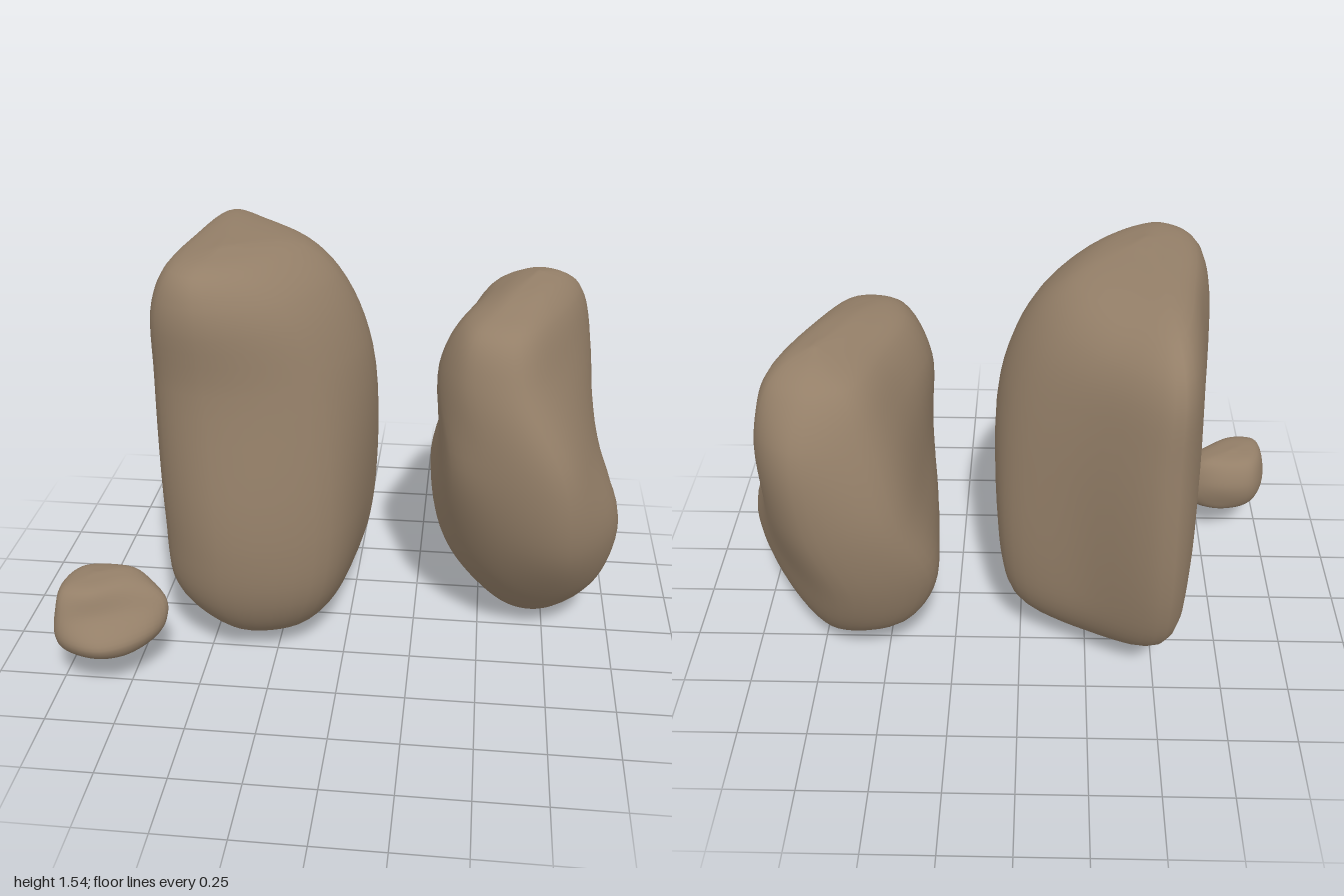
import * as THREE from 'three';

const AROUND = 48, STEPS = 6;
const stone = new THREE.MeshStandardMaterial({ color: 0x947f68 });
stone.name = 'brown stone';

// Smooth boulder lofted through rings of [y, x0, z0, x1, z1, ...] between a lowest and a highest point.
// Every ring runs: back left, left, front left, front, front right, right, back right, back.
function boulder(name, bottom, rings, top) {
  const low = new THREE.Vector3(...bottom), high = new THREE.Vector3(...top);
  const columns = [];
  for (let i = 0; i < 8; i++) {
    const pts = rings.map((r) => new THREE.Vector3(r[1 + i * 2], r[0], r[2 + i * 2]));
    columns.push(new THREE.CatmullRomCurve3([low, ...pts, high], false, 'centripetal'));
  }
  const levels = (rings.length + 1) * STEPS;
  const pos = [...bottom], index = [];
  for (let j = 1; j < levels; j++) {
    const loop = new THREE.CatmullRomCurve3(columns.map((c) => c.getPoint(j / levels)), true, 'centripetal');
    for (let i = 0; i < AROUND; i++) pos.push(...loop.getPoint(i / AROUND).toArray());
  }
  pos.push(...top);
  const last = pos.length / 3 - 1;
  const at = (i, j) => 1 + (j - 1) * AROUND + (i % AROUND);
  for (let i = 0; i < AROUND; i++) {
    index.push(0, at(i + 1, 1), at(i, 1));
    for (let j = 1; j < levels - 1; j++) {
      const a = at(i, j), b = at(i + 1, j), c = at(i, j + 1), d = at(i + 1, j + 1);
      index.push(a, b, c, b, d, c);
    }
    index.push(at(i, levels - 1), at(i + 1, levels - 1), last);
  }
  const geo = new THREE.BufferGeometry();
  geo.setAttribute('position', new THREE.Float32BufferAttribute(pos, 3));
  geo.setIndex(index);
  geo.computeVertexNormals();
  const mesh = new THREE.Mesh(geo, stone);
  mesh.name = name;
  return mesh;
}

export function createModel() {
  const group = new THREE.Group();
  group.name = 'rocks';

  // Tall upright rock, wedge shaped in plan
  group.add(boulder('tallRock', [-0.3, 0, 0.05], [
    [0.03, -0.34, -0.03, -0.38, 0.02, -0.38, 0.08, -0.32, 0.14, -0.24, 0.13, -0.2, 0.07, -0.21, 0, -0.27, -0.04],
    [0.12, -0.44, -0.36, -0.52, -0.12, -0.52, 0.18, -0.38, 0.31, -0.16, 0.25, -0.05, 0, -0.07, -0.18, -0.25, -0.32],
    [0.28, -0.51, -0.55, -0.61, -0.17, -0.62, 0.26, -0.42, 0.41, -0.08, 0.31, 0.02, -0.03, 0.02, -0.29, -0.24, -0.45],
    [0.55, -0.52, -0.64, -0.63, -0.18, -0.635, 0.29, -0.42, 0.445, -0.04, 0.31, 0.07, -0.05, 0.05, -0.33, -0.22, -0.49],
    [1.1, -0.51, -0.65, -0.63, -0.18, -0.64, 0.28, -0.45, 0.385, -0.08, 0.26, 0.07, -0.05, 0.02, -0.28, -0.22, -0.49],
    [1.38, -0.51, -0.61, -0.61, -0.15, -0.63, 0.285, -0.47, 0.385, -0.2, 0.26, -0.04, -0.05, -0.09, -0.25, -0.28, -0.46],
    [1.495, -0.49, -0.47, -0.57, -0.13, -0.58, 0.24, -0.48, 0.32, -0.31, 0.22, -0.17, -0.06, -0.21, -0.2, -0.35, -0.36],
  ], [-0.42, 1.54, 0.1]));

  // Second rock, a narrow leaning top over a broad belly
  group.add(boulder('leaningRock', [0.69, 0.03, -0.11], [
    [0.06, 0.61, -0.22, 0.58, -0.16, 0.6, -0.07, 0.66, -0.03, 0.74, -0.03, 0.81, -0.09, 0.78, -0.18, 0.7, -0.25],
    [0.25, 0.42, -0.43, 0.36, -0.25, 0.45, 0.01, 0.6, 0.13, 0.8, 0.14, 0.95, -0.01, 0.86, -0.25, 0.65, -0.46],
    [0.5, 0.31, -0.49, 0.29, -0.3, 0.37, 0.08, 0.56, 0.25, 0.81, 0.285, 1, 0, 0.89, -0.3, 0.62, -0.58],
    [0.8, 0.4, -0.57, 0.33, -0.24, 0.36, 0.18, 0.52, 0.3, 0.77, 0.32, 0.88, 0.05, 0.87, -0.42, 0.7, -0.625],
    [1.1, 0.47, -0.52, 0.37, -0.22, 0.32, 0.06, 0.42, 0.23, 0.62, 0.265, 0.78, 0, 0.86, -0.46, 0.72, -0.61],
    [1.26, 0.53, -0.46, 0.45, -0.22, 0.39, 0.03, 0.44, 0.16, 0.59, 0.18, 0.72, -0.03, 0.82, -0.42, 0.69, -0.52],
    [1.32, 0.61, -0.4, 0.54, -0.22, 0.51, -0.04, 0.53, 0.01, 0.59, 0, 0.68, -0.1, 0.76, -0.37, 0.68, -0.43],
  ], [0.66, 1.35, -0.3]));

  // Small pebble with a low front ledge
  group.add(boulder('pebble', [-0.81, 0.16, 0.48], [
    [0.175, -0.92, 0.38, -0.97, 0.47, -0.96, 0.57, -0.83, 0.62, -0.73, 0.58, -0.67, 0.46, -0.73, 0.38, -0.82, 0.35],
    [0.235, -0.94, 0.34, -1, 0.46, -0.98, 0.6, -0.83, 0.66, -0.71, 0.6, -0.62, 0.46, -0.68, 0.36, -0.8, 0.32],
    [0.32, -0.94, 0.33, -1, 0.46, -0.97, 0.59, -0.86, 0.59, -0.74, 0.53, -0.62, 0.44, -0.68, 0.36, -0.8, 0.31],
    [0.4, -0.93, 0.37, -0.97, 0.45, -0.96, 0.54, -0.87, 0.55, -0.79, 0.5, -0.73, 0.43, -0.74, 0.37, -0.84, 0.35],
  ], [-0.87, 0.42, 0.44]));

  return group;
}
